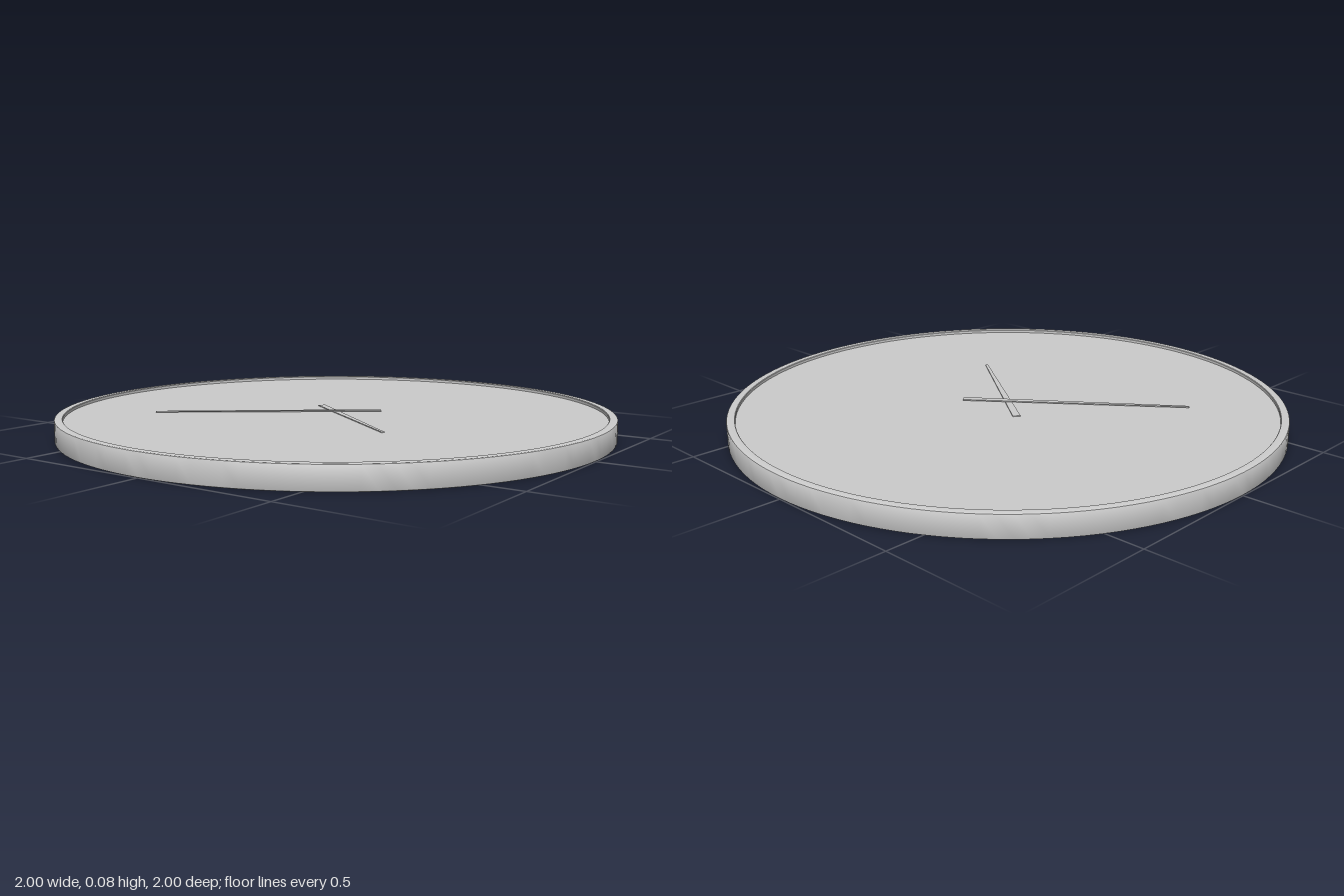
import * as THREE from 'three';
import { toCreasedNormals } from 'three/addons/utils/BufferGeometryUtils.js';

const material = new THREE.MeshStandardMaterial({ color: 0xcccccc });
const HEIGHT = 0.08, FACE_TOP = 0.068, FACE_BOTTOM = 0.012;
const SEGMENTS = 128;

function part(name, geometry) {
  const mesh = new THREE.Mesh(geometry, material);
  mesh.name = name;
  return mesh;
}

// Tapered flat hand, running from a wide tail to a narrow tip through the pivot
function hand(name, tip, tail, y, thickness) {
  const shape = new THREE.Shape();
  shape.moveTo(-0.005, tip);
  shape.lineTo(-0.014, -tail);
  shape.lineTo(0.014, -tail);
  shape.lineTo(0.005, tip);
  shape.closePath();
  const geometry = new THREE.ExtrudeGeometry(shape, { depth: thickness, bevelEnabled: false });
  geometry.rotateX(-Math.PI / 2); // tip now points to -z
  const mesh = part(name, geometry);
  mesh.position.y = y;
  return mesh;
}

export function createModel() {
  const model = new THREE.Group();
  model.name = 'wallClock';

  // Rim: closed ring section with softened corners
  const c = 0.005, inner = 0.97;
  const section = [
    [inner, 0.002], [inner + 0.002, 0], [1 - c, 0], [1 - 0.0015, 0.0015], [1, c],
    [1, HEIGHT - c], [1 - 0.0015, HEIGHT - 0.0015], [1 - c, HEIGHT],
    [inner + 0.002, HEIGHT], [inner, HEIGHT - 0.002], [inner, 0.002],
  ].map(([x, y]) => new THREE.Vector2(x, y));
  model.add(part('rim', toCreasedNormals(new THREE.LatheGeometry(section, SEGMENTS), 0.6)));

  // Dial disc, recessed inside the rim on both sides
  const dial = part('dial', new THREE.CylinderGeometry(inner + 0.005, inner + 0.005, FACE_TOP - FACE_BOTTOM, SEGMENTS));
  dial.position.y = (FACE_TOP + FACE_BOTTOM) / 2;
  model.add(dial);

  // Hands
  const hourHand = hand('hourHand', 0.465, 0.165, FACE_TOP - 0.002, 0.005);
  hourHand.rotation.y = Math.PI - Math.atan2(0.27, 0.38);
  const minuteHand = hand('minuteHand', 0.655, 0.165, FACE_TOP + 0.003, 0.004);
  minuteHand.rotation.y = Math.atan2(0.4, 0.52);
  model.add(hourHand, minuteHand);

  return model;
}
